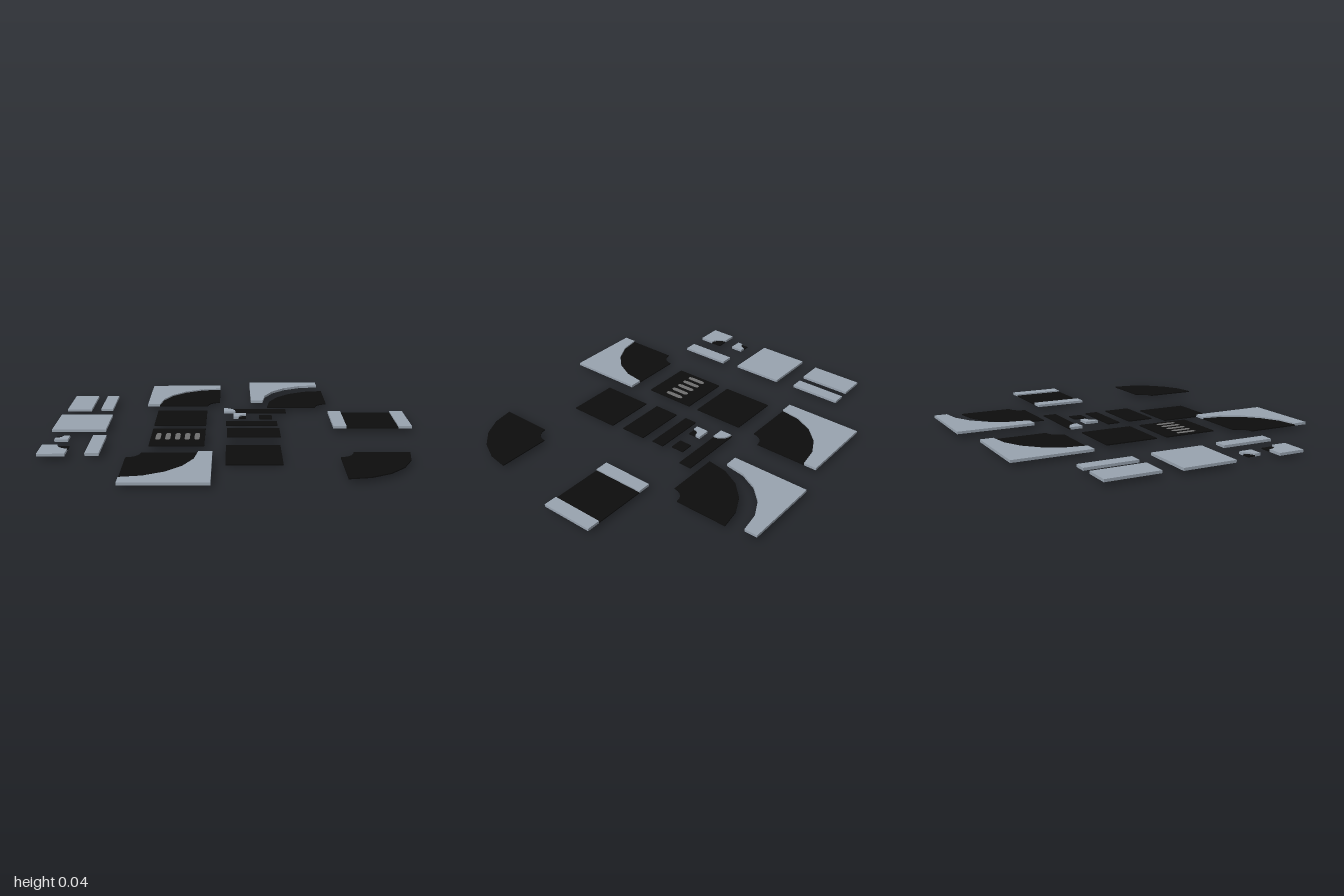
import * as THREE from 'three';

export function createModel() {
  const model = new THREE.Group();
  const paving = new THREE.MeshStandardMaterial({ color: 0x98a3af });
  const asphalt = new THREE.MeshStandardMaterial({ color: 0x0d0d0d });
  const paint = new THREE.MeshStandardMaterial({ color: 0x6e6e6e });
  paving.name = 'paving grey';
  asphalt.name = 'asphalt black';
  paint.name = 'crossing paint';

  const BASE = 0.02, ROAD = 0.006, CURB = 0.014;
  const OUTER = 0.365, INNER = 0.073;

  // Flat slab from an outline of [x, z] points
  function slab(name, points, material, thick, base = BASE) {
    const shape = new THREE.Shape(points.map(([x, z]) => new THREE.Vector2(x, z)));
    const geo = new THREE.ExtrudeGeometry(shape, { depth: thick, bevelEnabled: false });
    geo.rotateX(Math.PI / 2);
    geo.translate(0, base + thick, 0);
    const mesh = new THREE.Mesh(geo, material);
    mesh.name = name;
    model.add(mesh);
  }
  const rect = (x0, x1, z0, z1) => [[x0, z0], [x1, z0], [x1, z1], [x0, z1]];
  const road = (name, r, base) => slab(name, rect(...r), asphalt, ROAD, base);
  const walk = (name, r, base) => slab(name, rect(...r), paving, CURB, base);

  // Quarter arc around (cx, cz) in the quadrant given by the signs sx, sz
  function arc(cx, cz, sx, sz, r, n = 5) {
    const pts = [];
    for (let i = 0; i <= n; i++) {
      const a = (i / n) * Math.PI / 2;
      pts.push([cx + sx * r * Math.cos(a), cz + sz * r * Math.sin(a)]);
    }
    return pts;
  }
  const quarter = (cx, cz, sx, sz, r) => [[cx, cz], ...arc(cx, cz, sx, sz, r)];
  // Square of the given size with a quarter disc removed at (cx, cz)
  const cutSquare = (cx, cz, sx, sz, r, w, d = w) => [
    ...arc(cx, cz, sx, sz, r),
    [cx, cz + sz * d], [cx + sx * w, cz + sz * d], [cx + sx * w, cz],
  ];
  const bend = (cx, cz, sx, sz) => [
    ...arc(cx, cz, sx, sz, OUTER), ...arc(cx, cz, sx, sz, INNER).reverse(),
  ];

  // Road bends with and without their outer sidewalk
  for (const [cx, cz, sx, sz] of [[-0.08, -0.4, -1, -1], [-0.545, 0.455, 1, 1]]) {
    slab('bendSidewalk', cutSquare(cx, cz, sx, sz, OUTER, 0.437), paving, CURB);
    slab('bendRoad', bend(cx, cz, sx, sz), asphalt, ROAD);
  }
  slab('looseBendSidewalk', cutSquare(0.547, -0.46, -1, -1, OUTER, 0.437), paving, CURB, 0.025);
  slab('looseBendRoad', bend(0.57, -0.365, -1, -1), asphalt, ROAD);
  slab('looseBendRoad', bend(0.54, 0.455, 1, 1), asphalt, ROAD);

  // Plain sidewalk tiles
  walk('halfSidewalk', [-0.985, -0.843, -0.585, -0.293]);
  walk('narrowSidewalk', [-0.788, -0.717, -0.59, -0.3]);
  walk('fullSidewalk', [-1, -0.703, -0.19, 0.1]);
  walk('narrowSidewalk', [-0.757, -0.685, 0.198, 0.488]);

  // Sidewalk corners with an asphalt quarter
  for (const [cx, cz, sx, sz, r, size, base] of [
    [-0.953, 0.2, 1, 1, 0.04, 0.072, BASE],
    [-0.857, 0.353, -1, 1, 0.062, 0.143, BASE],
    [0.075, -0.125, -1, -1, 0.043, 0.073, 0.025],
  ]) {
    slab('cornerSidewalk', cutSquare(cx, cz, sx, sz, r, size), paving, CURB, base);
    slab('cornerRoad', quarter(cx, cz, sx, sz, r), asphalt, ROAD, base);
  }

  // Plain road tiles
  road('fullRoad', [-0.445, -0.153, -0.297, -0.006]);
  road('smallRoad', [0.152, 0.226, -0.199, -0.125]);
  road('narrowRoad', [-0.04, 0.25, -0.082, -0.01]);
  road('halfRoad', [-0.035, 0.257, 0.052, 0.198]);
  road('lowFullRoad', [-0.04, 0.25, 0.284, 0.575], 0);

  // Road strip ending in a rounded curb
  slab('stripRoad', cutSquare(-0.055, -0.247, 1, -1, 0.07, 0.368, 0.074), asphalt, ROAD);
  slab('stripCurb', quarter(-0.055, -0.247, 1, -1, 0.07), paving, CURB);

  // Straight street with a sidewalk on both sides
  walk('streetSidewalk', [0.56, 0.634, -0.249, 0.043]);
  road('streetRoad', [0.634, 0.925, -0.249, 0.043]);
  walk('streetSidewalk', [0.925, 1, -0.249, 0.043]);

  // Pedestrian crossing with round-ended stripes
  road('crossingRoad', [-0.445, -0.153, 0.054, 0.345]);
  for (let i = 0; i < 5; i++) {
    const x = -0.405 + i * 0.0525, w = 0.014, c = 0.007, z0 = 0.141, z1 = 0.252;
    slab('crossingStripe', [
      [x - c, z0], [x + c, z0], [x + w, z0 + 0.015], [x + w, z1 - 0.015],
      [x + c, z1], [x - c, z1], [x - w, z1 - 0.015], [x - w, z0 + 0.015],
    ], paint, 0.001, BASE + ROAD);
  }

  return model;
}
